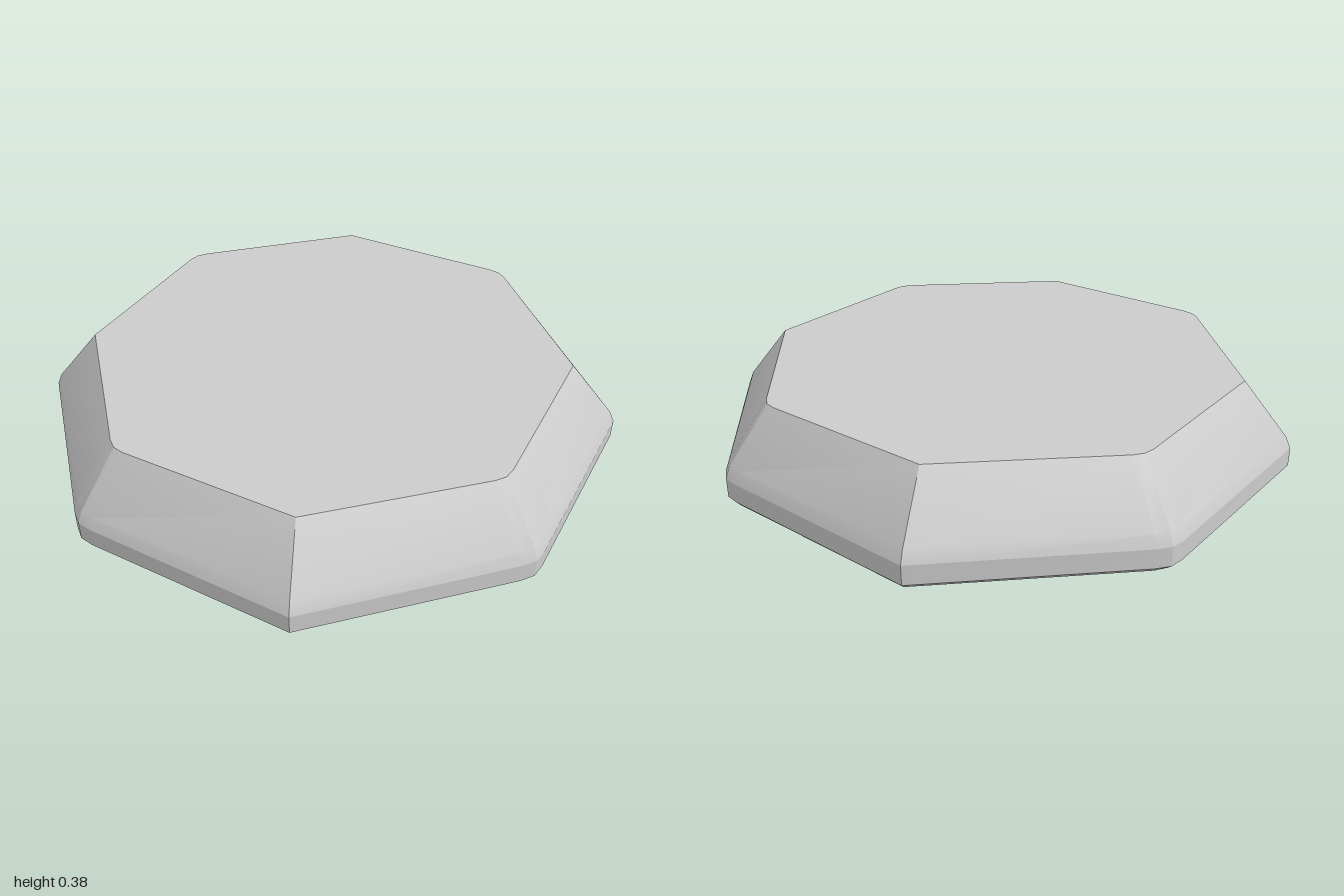
import * as THREE from 'three';
import { toCreasedNormals } from 'three/addons/utils/BufferGeometryUtils.js';

// Rings from bottom rim to top: height, cardinal radius, blunted corner (near, far, middle)
const RINGS = [
  { y: 0.07, r: 0.985, a: 0.655, b: 0.715, m: 0.69 },
  { y: 0.085, r: 1, a: 0.66, b: 0.727, m: 0.702 },
  { y: 0.15, r: 1, a: 0.66, b: 0.727, m: 0.702 },
  { y: 0.19, r: 0.982, a: 0.648, b: 0.716, m: 0.691 },
  { y: 0.375, r: 0.83, a: 0.56, b: 0.612, m: 0.592 },
];

// Eight-sided outline: sharp cardinal corners, blunted diagonal corners
function outline({ y, r, a, b, m }) {
  const pts = [];
  for (let k = 0; k < 4; k++) {
    for (const [x, z] of [[0, r], [a, b], [m, m], [b, a]]) {
      pts.push(new THREE.Vector3(x, y, z).applyAxisAngle(new THREE.Vector3(0, 1, 0), k * Math.PI / 2));
    }
  }
  return pts;
}

function buildMesh(name, triangles, crease) {
  const geometry = new THREE.BufferGeometry().setFromPoints(triangles);
  const mesh = new THREE.Mesh(
    toCreasedNormals(geometry, crease),
    new THREE.MeshStandardMaterial({ color: 0xcccccc })
  );
  mesh.name = name;
  return mesh;
}

export function createModel() {
  const group = new THREE.Group();
  group.name = 'cutStone';
  const rings = RINGS.map(outline);
  const n = rings[0].length;
  const next = (i) => (i + 1) % n;

  // Sloped sides with a narrow bevelled band
  const sides = [];
  for (let j = 0; j < rings.length - 1; j++) {
    const lo = rings[j], hi = rings[j + 1];
    for (let i = 0; i < n; i++) {
      sides.push(lo[i], lo[next(i)], hi[next(i)], lo[i], hi[next(i)], hi[i]);
    }
  }
  group.add(buildMesh('sides', sides, 0.3));

  // Flat top
  const top = [];
  const rim = rings[rings.length - 1];
  const centre = new THREE.Vector3(0, RINGS[RINGS.length - 1].y, 0);
  for (let i = 0; i < n; i++) top.push(centre, rim[i], rim[next(i)]);
  group.add(buildMesh('top', top, 0.1));

  // Faceted underside: a flat diamond joined to the rim by triangles
  const base = [[0, 0.82], [0.82, 0], [0, -0.84], [-0.82, 0]].map(([x, z]) => new THREE.Vector3(x, 0, z));
  const low = rings[0];
  const under = [base[0], base[2], base[1], base[0], base[3], base[2]];
  for (let k = 0; k < 4; k++) {
    const p = base[k], q = base[(k + 1) % 4], i = k * 4;
    under.push(p, low[i + 1], low[i], p, low[i + 2], low[i + 1]);
    under.push(p, q, low[i + 2]);
    under.push(q, low[i + 3], low[i + 2], q, low[(i + 4) % n], low[i + 3]);
  }
  group.add(buildMesh('underside', under, 0.1));

  return group;
}
